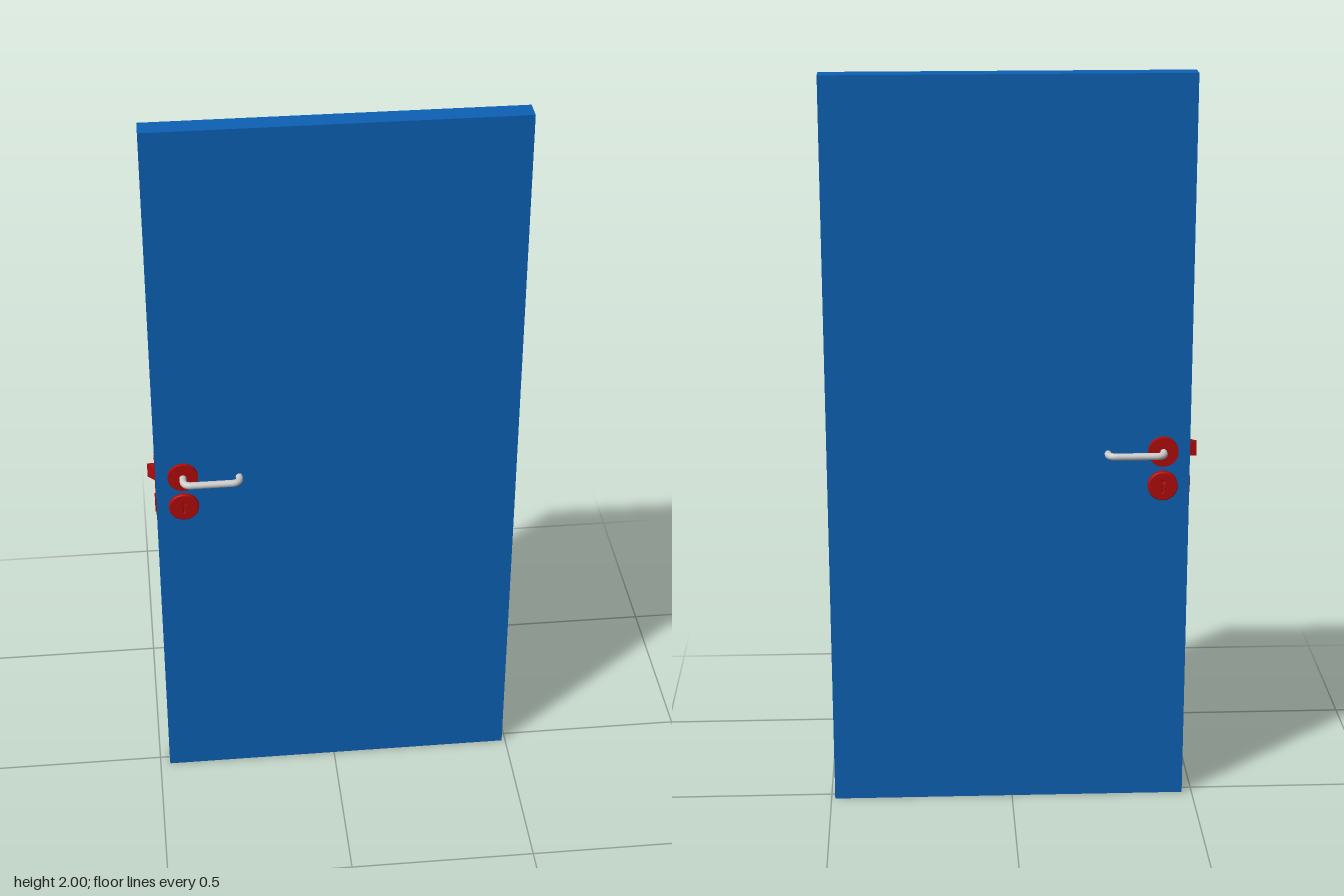
import * as THREE from 'three';

const blue = new THREE.MeshStandardMaterial({ color: 0x0d62b5 });
const red = new THREE.MeshStandardMaterial({ color: 0xb00c0c });
const grey = new THREE.MeshStandardMaterial({ color: 0xcccccc });

const HX = -0.401, HANDLE_Y = 1.0, LOCK_Y = 0.905, R = 0.04, EDGE = -0.473;

function add(parent, name, geometry, material, x = 0, y = 0, z = 0) {
  const mesh = new THREE.Mesh(geometry, material);
  mesh.name = name;
  mesh.position.set(x, y, z);
  parent.add(mesh);
  return mesh;
}

// Lever path with rounded corners, starting at the door and facing +z
function leverPath(reach, tip) {
  const p = (x, z) => new THREE.Vector3(x, 0, z);
  const r = 0.022, w = 0.148;
  const path = new THREE.CurvePath();
  path.add(new THREE.LineCurve3(p(0, 0), p(0, reach - r)));
  path.add(new THREE.QuadraticBezierCurve3(p(0, reach - r), p(0, reach), p(r, reach)));
  path.add(new THREE.LineCurve3(p(r, reach), p(w - r, reach)));
  path.add(new THREE.QuadraticBezierCurve3(p(w - r, reach), p(w, reach), p(w, reach - r)));
  path.add(new THREE.LineCurve3(p(w, reach - r), p(w, tip)));
  return path;
}

// Round escutcheon pierced by a keyhole
function lockRose(depth) {
  const bevel = 0.003;
  const shape = new THREE.Shape().absarc(0, 0, R - bevel, 0, Math.PI * 2);
  const hole = new THREE.Path();
  hole.moveTo(-0.004, -0.02);
  hole.lineTo(0.004, -0.02);
  hole.lineTo(0.004, 0.006);
  hole.absarc(0, 0.011, 0.0075, -0.9, Math.PI + 0.9, false);
  hole.lineTo(-0.004, -0.02);
  shape.holes.push(hole);
  const geo = new THREE.ExtrudeGeometry(shape, {
    depth: depth - bevel, bevelSize: bevel, bevelThickness: bevel, bevelSegments: 2, curveSegments: 32,
  });
  return geo;
}

// Handle, roses and keyhole for one face of the door
function hardware(name, depth, reach, tip) {
  const g = new THREE.Group();
  g.name = name;
  const rose = new THREE.CylinderGeometry(R, R, depth, 40).rotateX(Math.PI / 2);
  add(g, 'handleRose', rose, red, HX, HANDLE_Y, depth / 2);
  add(g, 'lockRose', lockRose(depth), red, HX, LOCK_Y, 0);
  add(g, 'keyholeBack', new THREE.CircleGeometry(R * 0.7, 24), red, HX, LOCK_Y, 0.002);
  add(g, 'lever', new THREE.TubeGeometry(leverPath(reach, tip), 64, 0.0095, 16), grey, HX, HANDLE_Y, 0);
  const cap = new THREE.CircleGeometry(0.0095, 16).rotateY(Math.PI);
  add(g, 'leverTip', cap, grey, HX + 0.148, HANDLE_Y, tip);
  return g;
}

export function createModel() {
  const model = new THREE.Group();
  model.name = 'door';

  // Door leaf
  const front = 0.029, back = -0.028;
  add(model, 'leaf', new THREE.BoxGeometry(0.963, 2, front - back), blue, 0.0085, 1, (front + back) / 2);

  // Hardware on both faces; the back set is mirrored
  const frontSet = hardware('frontHardware', 0.011, 0.047, 0.017);
  frontSet.position.z = front;
  const backSet = hardware('backHardware', 0.015, 0.049, 0.021);
  backSet.position.z = back;
  backSet.scale.z = -1;
  model.add(frontSet, backSet);

  // Lock plate, wedge latch and bolt on the closing edge
  add(model, 'lockPlate', new THREE.BoxGeometry(0.002, 0.18, 0.036), red, EDGE, 0.952, 0);
  const wedge = new THREE.Shape();
  wedge.moveTo(EDGE + 0.004, 0.009);
  wedge.lineTo(EDGE + 0.004, -0.016);
  wedge.lineTo(EDGE, -0.012);
  wedge.lineTo(-0.4925, 0.009);
  wedge.closePath();
  const latch = new THREE.ExtrudeGeometry(wedge, { depth: 0.042, bevelEnabled: false });
  latch.rotateX(-Math.PI / 2);
  add(model, 'latch', latch, red, 0, 0.979, 0);
  add(model, 'deadbolt', new THREE.BoxGeometry(0.008, 0.045, 0.022), red, EDGE + 0.0005, 0.9, 0);

  return model;
}
